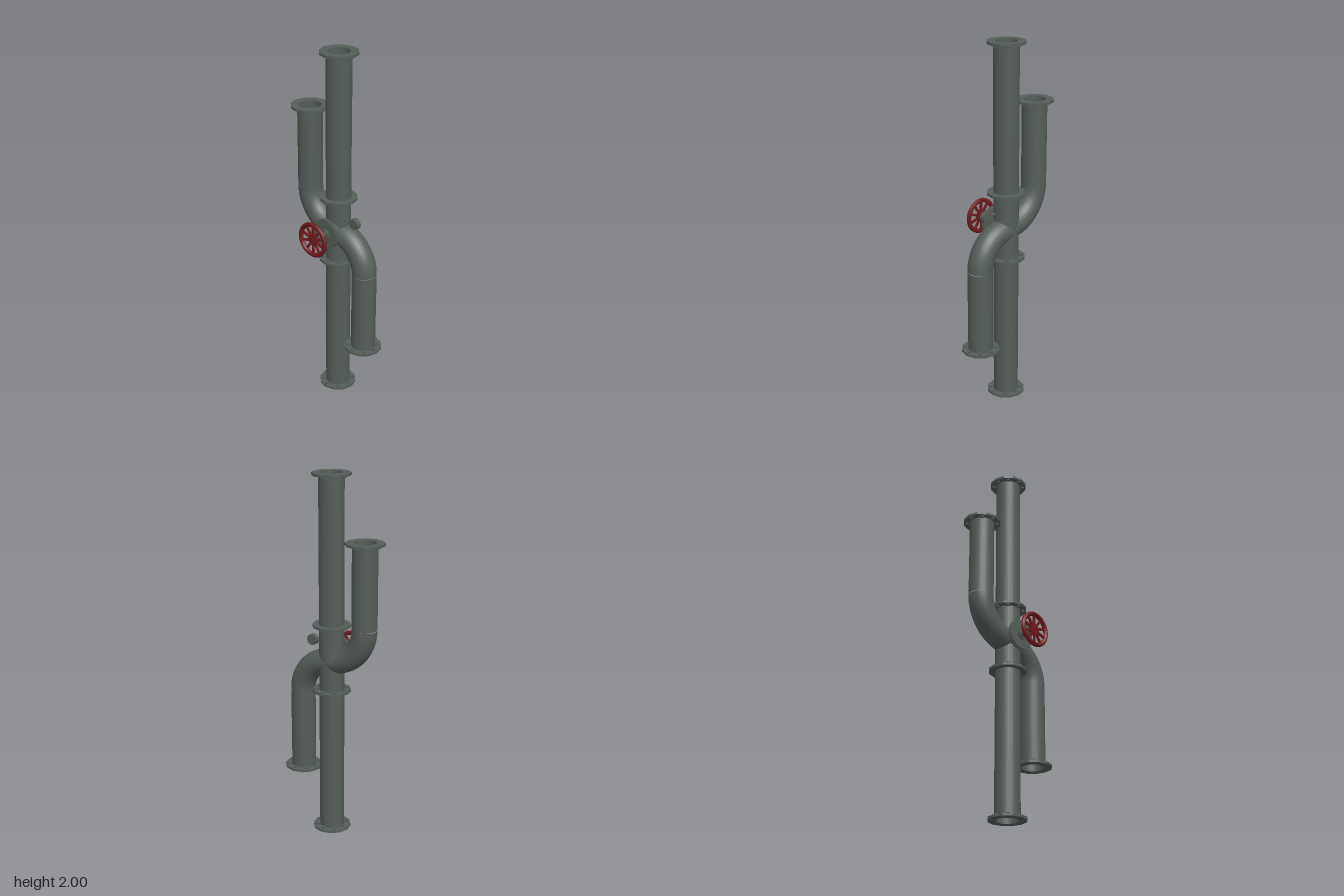
import * as THREE from 'three';
import { toCreasedNormals } from 'three/addons/utils/BufferGeometryUtils.js';

const iron = new THREE.MeshStandardMaterial({ color: 0x555e59 });
iron.name = 'greyIron';
const red = new THREE.MeshStandardMaterial({ color: 0x701a1c });
red.name = 'wheelRed';
const dark = new THREE.MeshStandardMaterial({ color: 0x0c0c0c });
dark.name = 'boreBlack';

const CX = 0.007, CZ = -0.052, PIPE_R = 0.068, BORE_R = 0.06, FLANGE_R = 0.104;

function add(parent, name, geometry, material, x = 0, y = 0, z = 0) {
  const mesh = new THREE.Mesh(geometry, material);
  mesh.name = name;
  mesh.position.set(x, y, z);
  parent.add(mesh);
  return mesh;
}

function lathe(points, segments, crease = 0.4) {
  const profile = points.map(([r, y]) => new THREE.Vector2(r, y));
  return toCreasedNormals(new THREE.LatheGeometry(profile, segments), crease);
}

// Disc or rod along z, from z0 to z1
function rodZ(parent, name, radius, z0, z1, material = iron, sides = 24) {
  const g = new THREE.CylinderGeometry(radius, radius, z1 - z0, sides).rotateX(Math.PI / 2);
  return add(parent, name, g, material, 0, 0, (z0 + z1) / 2);
}

// Flange whose outer face sits at height y, looking up (dir 1) or down (dir -1)
function flange(parent, name, x, y, dir, open) {
  const group = new THREE.Group();
  group.name = name;
  group.position.set(x, y, CZ);
  if (dir < 0) group.rotation.x = Math.PI;
  const t = 0.013, depth = open ? 0.15 : 0.02;
  add(group, 'flangeRing', lathe([
    [BORE_R, -t], [FLANGE_R, -t], [FLANGE_R, 0], [BORE_R, 0]], 12), iron);
  if (open) {
    add(group, 'boreWall', lathe([[BORE_R, 0], [BORE_R, -depth]], 24, 0.6), iron);
    add(group, 'boreEnd', new THREE.CircleGeometry(BORE_R, 24).rotateX(-Math.PI / 2), dark, 0, -depth, 0);
  }
  for (let i = 0; i < 8; i++) {
    const a = i * Math.PI / 4;
    add(group, 'flangeBolt', new THREE.CylinderGeometry(0.011, 0.011, 0.008, 6), iron,
      Math.sin(a) * 0.083, -t - 0.004, Math.cos(a) * 0.083);
  }
  parent.add(group);
}

// Pipe that runs straight along y, then bends a quarter circle into the main pipe
function branch(parent, name, x, yEnd, yBend) {
  const v = (px, py) => new THREE.Vector3(px, py, CZ);
  const bendR = Math.abs(x - CX), down = Math.sign(yBend - yEnd);
  const straight = new THREE.TubeGeometry(new THREE.LineCurve3(v(x, yEnd), v(x, yBend)), 1, PIPE_R, 24);
  const arc = [];
  for (let i = 0; i <= 16; i++) {
    const a = i / 16 * Math.PI / 2;
    arc.push(v(CX + (x - CX) * Math.cos(a), yBend + down * bendR * Math.sin(a)));
  }
  add(parent, name + 'Straight', straight, iron);
  add(parent, name + 'Elbow', new THREE.TubeGeometry(new THREE.CatmullRomCurve3(arc), 24, PIPE_R, 24), iron);
}

function handwheel(parent) {
  const wheel = new THREE.Group();
  wheel.name = 'handwheel';
  // Rounded rim
  const rim = [[0.076, 0.142], [0.08, 0.137], [0.094, 0.137], [0.099, 0.142],
    [0.099, 0.151], [0.095, 0.156], [0.08, 0.156], [0.076, 0.151], [0.076, 0.142]];
  add(wheel, 'wheelRim', lathe(rim, 32, 0.9).rotateX(Math.PI / 2), red);
  rodZ(wheel, 'wheelHub', 0.031, 0.131, 0.15, red);
  rodZ(wheel, 'wheelNut', 0.014, 0.15, 0.155, red, 6);
  for (let i = 0; i < 10; i++) {
    const spoke = add(wheel, 'wheelSpoke', new THREE.BoxGeometry(0.055, 0.012, 0.01).translate(0.054, 0, 0), red, 0, 0, 0.143);
    spoke.rotation.z = i * Math.PI / 5 + Math.PI / 2;
  }
  parent.add(wheel);
}

export function createModel() {
  const model = new THREE.Group();
  model.name = 'pipeJunction';

  // Pipes
  add(model, 'mainPipe', new THREE.CylinderGeometry(PIPE_R, PIPE_R, 1.99, 24, 1, true), iron, CX, 1, CZ);
  branch(model, 'upperBranch', -0.202, 1.655, 1.2);
  branch(model, 'lowerBranch', 0.2, 0.33, 0.79);

  // Flanges
  flange(model, 'topFlange', CX, 2, 1, true);
  flange(model, 'bottomFlange', CX, 0, -1, true);
  flange(model, 'upperMiddleFlange', CX, 1.196, 1, false);
  flange(model, 'lowerMiddleFlange', CX, 0.815, -1, false);
  flange(model, 'upperBranchFlange', -0.202, 1.662, 1, true);
  flange(model, 'lowerBranchFlange', 0.2, 0.323, -1, true);

  // Valve bonnet, yoke and stem
  const valve = new THREE.Group();
  valve.name = 'valve';
  valve.position.set(CX, 1.005, 0);
  model.add(valve);
  rodZ(valve, 'bonnetNeck', 0.06, -0.03, 0.034);
  rodZ(valve, 'bonnetDiscBack', 0.083, 0.032, 0.04);
  rodZ(valve, 'bonnetGasket', 0.077, 0.04, 0.045);
  rodZ(valve, 'bonnetDiscFront', 0.083, 0.045, 0.053);
  rodZ(valve, 'stemCollar', 0.03, 0.053, 0.064);
  rodZ(valve, 'stemNeck', 0.019, 0.064, 0.08);
  rodZ(valve, 'yokeRingBack', 0.024, 0.078, 0.084);
  rodZ(valve, 'yokeRingFront', 0.024, 0.11, 0.116);
  rodZ(valve, 'stem', 0.007, 0.08, 0.14);
  rodZ(valve, 'wheelCollar', 0.018, 0.116, 0.133);
  for (const s of [-1, 1]) {
    add(valve, 'yokePost', new THREE.BoxGeometry(0.006, 0.024, 0.034), iron, s * 0.024, 0, 0.097);
    add(valve, 'yokePin', new THREE.CylinderGeometry(0.009, 0.009, 0.046, 12), iron, s * 0.0105, 0, 0.097);
  }
  handwheel(valve);

  // Small round gauge on a side stub
  add(model, 'gaugeStub', new THREE.CylinderGeometry(0.006, 0.006, 0.07, 10).rotateZ(Math.PI / 2), iron, 0.09, 1.08, -0.037);
  add(model, 'gaugeBody', new THREE.CylinderGeometry(0.03, 0.03, 0.027, 20).rotateX(Math.PI / 2), iron, 0.142, 1.08, -0.037);

  return model;
}
